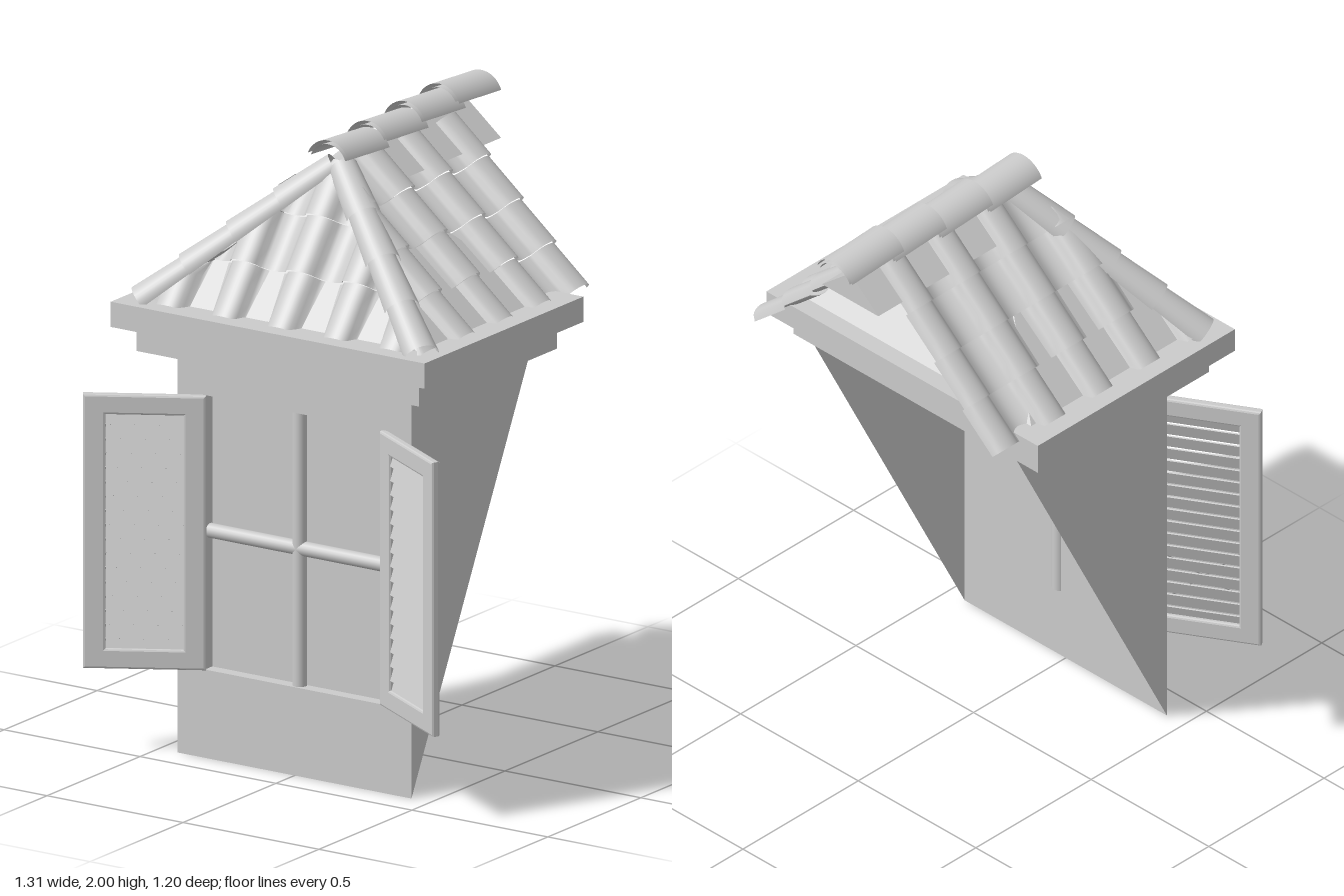
import * as THREE from 'three';

const grey = new THREE.MeshStandardMaterial({ color: 0xcccccc });
const thin = new THREE.MeshStandardMaterial({ color: 0xcccccc, side: THREE.DoubleSide });
const V = (x, y, z) => new THREE.Vector3(x, y, z);
const lerp = THREE.MathUtils.lerp;

function add(parent, name, geometry, material = grey, x = 0, y = 0, z = 0) {
  const mesh = new THREE.Mesh(geometry, material);
  mesh.name = name;
  mesh.position.set(x, y, z);
  parent.add(mesh);
  return mesh;
}

// Box given by its limits
function box(parent, name, x0, x1, y0, y1, z0, z1) {
  return add(parent, name, new THREE.BoxGeometry(x1 - x0, y1 - y0, z1 - z0), grey,
    (x0 + x1) / 2, (y0 + y1) / 2, (z0 + z1) / 2);
}

const rectPoints = (x0, x1, y0, y1) =>
  [[x0, y0], [x1, y0], [x1, y1], [x0, y1]].map(([x, y]) => new THREE.Vector2(x, y));

// Height of the pantile wave: narrow round rolls with shallow troughs between
const PITCH = 0.205, ROLL = 0.053;
function wave(u) {
  const d = u - PITCH * Math.round(u / PITCH);
  const a = Math.abs(d);
  if (a < ROLL) return 0.036 * Math.sqrt(Math.max(0, 1 - (a / ROLL) ** 2));
  return -0.018 * Math.sin(Math.PI * (a - ROLL) / (PITCH - 2 * ROLL));
}

// Rows of tiles on one slope. place(u, t, h) gives a point; limit(t) gives the range of u
function tileSlope(parent, name, rows, u0, u1, shift, limit, place) {
  const n = 100, steps = 3;
  for (let r = 0; r < rows; r++) {
    const pos = [], index = [];
    for (let j = 0; j <= steps; j++) {
      const k = j / steps, t = (r + k) / rows, [lo, hi] = limit(t);
      for (let i = 0; i <= n; i++) {
        const u = Math.min(hi, Math.max(lo, lerp(u0, u1, i / n)));
        pos.push(...place(u, t, wave(u - shift) + 0.012 * k - 0.004));
        if (i < n && j < steps) {
          const a = j * (n + 1) + i, b = a + n + 1;
          index.push(a, b, a + 1, b, b + 1, a + 1);
        }
      }
    }
    const g = new THREE.BufferGeometry();
    g.setAttribute('position', new THREE.Float32BufferAttribute(pos, 3));
    g.setIndex(index);
    g.computeVertexNormals();
    add(parent, name, g, thin);
  }
}

// Curved cover tile along a line, arched upwards
function coverTile(parent, name, from, to, rFrom, rTo, halfAngle) {
  const g = new THREE.CylinderGeometry(rTo, rFrom, from.distanceTo(to), 16, 1, true, -halfAngle, 2 * halfAngle);
  const dir = to.clone().sub(from).normalize();
  const side = dir.clone().cross(V(0, 1, 0)).normalize();
  const up = side.clone().cross(dir);
  g.applyMatrix4(new THREE.Matrix4().makeBasis(side, dir, up));
  const mid = from.clone().add(to).multiplyScalar(0.5);
  add(parent, name, g, thin, mid.x, mid.y, mid.z);
}

// Louvred shutter, hinge at the local origin, reaching along +x
function shutter(name) {
  const g = new THREE.Group();
  g.name = name;
  const w = 0.375, y0 = 0.28, y1 = 1.15, border = 0.055, e = 0.007;
  const shape = new THREE.Shape(rectPoints(e, w - e, y0 + e, y1 - e));
  shape.holes.push(new THREE.Path(rectPoints(border + e, w - border - e, y0 + 0.05 + e, y1 - 0.05 - e).reverse()));
  const frame = new THREE.ExtrudeGeometry(shape,
    { depth: 0.014, bevelEnabled: true, bevelThickness: e, bevelSize: e, bevelSegments: 2 });
  add(g, 'shutterFrame', frame, grey, 0, 0, -0.014);
  const count = 17, step = (y1 - y0 - 0.1) / count;
  for (let i = 0; i < count; i++) {
    const slat = add(g, 'louvre', new THREE.BoxGeometry(w - 2 * border, step * 1.08, 0.005), grey,
      w / 2, y0 + 0.05 + (i + 0.5) * step, -0.007);
    slat.rotation.x = -0.3;
  }
  return g;
}

export function createModel() {
  const model = new THREE.Group();
  model.name = 'dormerWindow';

  // Front wall with window opening
  const wall = new THREE.Shape(rectPoints(-0.43, 0.43, 0, 1.28));
  wall.holes.push(new THREE.Path(rectPoints(-0.33, 0.33, 0.28, 1.15).reverse()));
  add(model, 'frontWall', new THREE.ShapeGeometry(wall), thin, 0, 0, 0.4);

  // Triangular cheeks that meet the main roof
  for (const s of [-1, 1]) {
    const cheek = new THREE.Shape([[-0.4, 0], [-0.4, 1.28], [0.25, 1.28]].map(([a, b]) => new THREE.Vector2(a, b)));
    add(model, 'sideWall', new THREE.ShapeGeometry(cheek), thin, s * 0.43).rotation.y = Math.PI / 2;
  }

  // Window: reveal, pane and glazing bars
  const win = new THREE.Group();
  win.name = 'window';
  model.add(win);
  const zPane = 0.36, depth = 0.04;
  add(win, 'pane', new THREE.PlaneGeometry(0.66, 0.87), thin, 0, 0.715, zPane);
  for (const s of [-1, 1]) {
    add(win, 'revealSide', new THREE.PlaneGeometry(depth, 0.87), thin, s * 0.33, 0.715, 0.38).rotation.y = Math.PI / 2;
    add(win, 'revealEdge', new THREE.PlaneGeometry(0.66, depth), thin, 0, 0.715 + s * 0.435, 0.38).rotation.x = Math.PI / 2;
  }
  add(win, 'verticalBar', new THREE.CylinderGeometry(0.023, 0.023, 0.87, 16), grey, 0, 0.715, 0.372);
  add(win, 'horizontalBar', new THREE.CylinderGeometry(0.023, 0.023, 0.66, 16), grey, 0, 0.715, 0.372).rotation.z = Math.PI / 2;

  // Open shutters
  const angle = Math.atan2(0.19, 0.325);
  const left = shutter('leftShutter');
  left.position.set(0.322, 0, 0.405);
  left.rotation.y = -angle;
  const right = shutter('rightShutter');
  right.position.set(-0.322, 0, 0.405);
  right.rotation.y = angle;
  right.children.forEach((c) => { // mirror the parts to reach along -x
    c.position.x -= 0.375;
  });
  model.add(left, right);

  // Stepped cornice
  box(model, 'lowerCornice', -0.52, 0.52, 1.28, 1.36, -0.25, 0.49);
  box(model, 'upperCornice', -0.577, 0.577, 1.36, 1.44, -0.31, 0.545);

  // Pyramid core below the tiles
  const core = new THREE.ConeGeometry(Math.SQRT1_2, 0.41, 4, 1, true).toNonIndexed();
  core.rotateY(Math.PI / 4);
  core.scale(0.98, 1, 0.7);
  core.computeVertexNormals();
  add(model, 'roofCore', core, thin, 0, 1.645, 0.1);

  // Ridge beam at the back
  const beam = new THREE.Shape([[-0.12, 1.81], [0.12, 1.81], [0, 1.91]].map(([a, b]) => new THREE.Vector2(a, b)));
  add(model, 'ridgeBeam', new THREE.ExtrudeGeometry(beam, { depth: 0.55, bevelEnabled: false }), grey, 0, 0, -0.535);

  // Tiled slopes: two sides and the front hip
  for (const s of [-1, 1]) {
    tileSlope(model, 'sideTiles', 4, -0.433, 0.49, -0.38,
      (t) => [-0.433, lerp(0.16, 0.49, t)],
      (z, t, h) => [s * (lerp(0.02, 0.5, t) + 0.7 * h), lerp(1.89, 1.42, t) + 0.71 * h, z]);
  }
  tileSlope(model, 'frontTiles', 3, -0.5, 0.5, 0,
    (t) => [-lerp(0.01, 0.5, t), lerp(0.01, 0.5, t)],
    (x, t, h) => [x, lerp(1.88, 1.42, t) + 0.56 * h, lerp(0.15, 0.46, t) + 0.83 * h]);

  // Cover tiles along the front hips
  for (const s of [-1, 1]) {
    const low = V(s * 0.512, 1.43, 0.468), high = V(s * 0.025, 1.855, 0.165);
    for (let i = 0; i < 4; i++) {
      coverTile(model, 'hipTile', low.clone().lerp(high, i / 4), low.clone().lerp(high, (i + 1.12) / 4),
        0.057, 0.047, Math.PI / 2);
    }
  }

  // Ridge tiles stepping up towards the back: front z, back z, front top, back top
  const r = 0.081;
  for (const [z0, z1, y0, y1] of [
    [0.222, 0.0, 1.968, 1.955], [0.01, -0.21, 1.977, 1.965],
    [-0.19, -0.41, 1.99, 1.978], [-0.375, -0.6, 2.0, 1.988]]) {
    for (const t of [0, 0.012]) { // outer and inner skin
      coverTile(model, 'ridgeTile', V(0, y0 - r, z0), V(0, y1 - r, z1), r - t, r - t, 1.18);
    }
  }
  return model;
}
